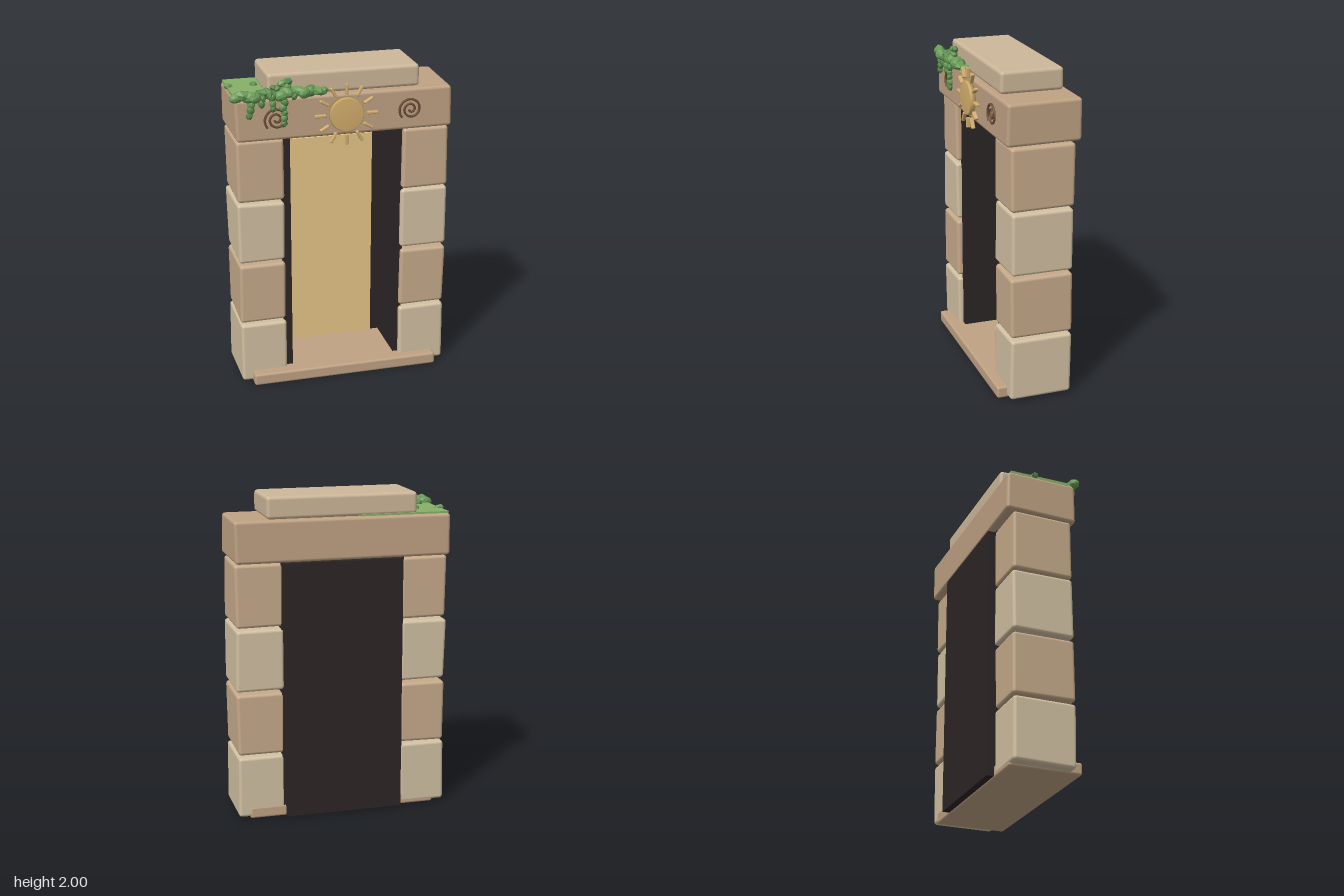
import * as THREE from 'three';
import { RoundedBoxGeometry } from 'three/addons/geometries/RoundedBoxGeometry.js';

const mat = (color, flatShading = false) => new THREE.MeshStandardMaterial({ color, flatShading });
const M = {
  light: mat(0xd2c1a2), tan: mat(0xc6aa8a), lintel: mat(0xbfa283), cap: mat(0xcdb799),
  dark: mat(0x2c2526), gold: mat(0xe6c688), sun: mat(0xd3ae6c), carving: mat(0x6e4f38),
  moss: mat(0x86b068, true), leaf: mat(0x6a9c57, true), leafDark: mat(0x578a4b, true),
};

// Small seeded generator
let seed = 7;
const rand = () => (seed = (seed * 16807) % 2147483647) / 2147483647;
const jit = (a) => (rand() * 2 - 1) * a;

export function createModel() {
  const root = new THREE.Group();
  const add = (name, geo, material, x = 0, y = 0, z = 0, parent = root) => {
    const m = new THREE.Mesh(geo, material);
    m.name = name;
    m.position.set(x, y, z);
    parent.add(m);
    return m;
  };

  // Box given by its limits on each axis
  const box = (name, material, [x0, x1], [y0, y1], [z0, z1]) =>
    add(name, new THREE.BoxGeometry(x1 - x0, y1 - y0, z1 - z0), material, (x0 + x1) / 2, (y0 + y1) / 2, (z0 + z1) / 2);

  // Rounded stone whose eight corners are nudged for a hand-cut look
  const stone = (name, material, [x0, x1], [y0, y1], [z0, z1], radius = 0.02, wobble = 0.005) => {
    const w = x1 - x0, h = y1 - y0, d = z1 - z0;
    const geo = new RoundedBoxGeometry(w, h, d, 2, radius);
    const corners = Array.from({ length: 8 }, () => [jit(wobble), jit(wobble * 0.6), jit(wobble)]);
    const p = geo.attributes.position;
    for (let i = 0; i < p.count; i++) {
      const v = [p.getX(i), p.getY(i), p.getZ(i)];
      const t = [v[0] / w + 0.5, v[1] / h + 0.5, v[2] / d + 0.5];
      corners.forEach((c, k) => {
        const weight = [0, 1, 2].reduce((a, j) => a * ((k >> j) & 1 ? t[j] : 1 - t[j]), 1);
        for (let j = 0; j < 3; j++) v[j] += c[j] * weight;
      });
      p.setXYZ(i, ...v);
    }
    return add(name, geo, material, (x0 + x1) / 2, (y0 + y1) / 2, (z0 + z1) / 2);
  };

  // Pillars of four blocks each
  const rows = [[0.01, 0.4], [0.415, 0.8], [0.818, 1.2], [1.213, 1.6]];
  rows.forEach((y, i) => {
    const m = i % 2 ? M.tan : M.light;
    stone('rightPillarBlock', m, [-0.648, -0.358], y, [-0.207, 0.182]);
    stone('leftPillarBlock', m, [0.384, 0.677], y, [-0.207, 0.182]);
  });

  // Lintel, cap stone and sill
  stone('lintel', M.lintel, [-0.65, 0.68], [1.608, 1.863], [-0.245, 0.21]);
  stone('capStone', M.cap, [-0.45, 0.482], [1.864, 2], [-0.21, 0.178], 0.022, 0.003);
  stone('sill', M.lintel, [-0.58, 0.607], [0, 0.075], [-0.205, 0.245], 0.014, 0.002);

  // Dark recess and glowing door
  box('backPanel', M.dark, [-0.352, 0.382], [0.01, 1.605], [-0.25, -0.2]);
  box('rightJamb', M.dark, [-0.37, -0.315], [0.03, 1.607], [-0.202, 0.15]);
  box('leftJamb', M.dark, [0.35, 0.4], [0.03, 1.607], [-0.202, 0.15]);
  box('doorPanel', M.gold, [-0.26, 0.295], [0.06, 1.47], [-0.2, -0.185]);

  // Sun emblem with twelve rays
  const sun = new THREE.Group();
  sun.name = 'sunEmblem';
  sun.position.set(0.015, 1.737, 0.21);
  root.add(sun);
  const profile = [[0, -0.005], [0.105, -0.005], [0.105, 0.026], [0.098, 0.034], [0, 0.034]];
  const discGeo = new THREE.LatheGeometry(profile.map(([x, y]) => new THREE.Vector2(x, y)), 32);
  add('sunDisc', discGeo.rotateX(Math.PI / 2), M.sun, 0, 0, 0, sun);
  for (let i = 0; i < 12; i++) {
    const a = (i * Math.PI) / 6;
    const r = i % 2 ? 0.155 : 0.16;
    const ray = add('sunRay', new RoundedBoxGeometry(i % 2 ? 0.065 : 0.07, 0.018, 0.026, 1, 0.006), M.sun,
      r * Math.cos(a), r * Math.sin(a), 0.014, sun);
    ray.rotation.z = a;
  }

  // Carved spirals either side of the sun
  const spiral = [];
  for (let i = 0; i <= 40; i++) {
    const t = i / 40, a = 3.9 - t * Math.PI * 4.2, r = 0.063 * (1 - t) + 0.01;
    spiral.push(new THREE.Vector3(r * Math.cos(a), r * Math.sin(a), 0));
  }
  const spiralGeo = new THREE.TubeGeometry(new THREE.CatmullRomCurve3(spiral), 90, 0.0075, 6);
  add('rightSpiral', spiralGeo, M.carving, -0.408, 1.735, 0.213);
  add('leftSpiral', spiralGeo, M.carving, 0.417, 1.735, 0.213);

  // Moss sheet on the lintel, running under the cap
  box('mossSheet', M.moss, [-0.648, -0.1], [1.855, 1.876], [-0.218, 0.19]);

  // Faceted leaf clumps
  const foliage = new THREE.Group();
  foliage.name = 'foliage';
  root.add(foliage);
  const clump = (name, x, y, z, sx, sy, sz) => {
    const m = add(name, new THREE.IcosahedronGeometry(1, rand() > 0.5 ? 1 : 0), rand() > 0.45 ? M.leaf : M.leafDark, x, y, z, foliage);
    m.scale.set(sx, sy, sz);
    m.rotation.set(jit(0.35), jit(1), jit(0.3));
  };
  for (let i = 0; i < 15; i++) {
    const t = i / 14;
    clump('edgeLeaves', -0.64 + t * 0.515, 1.885 + jit(0.012), 0.205 + jit(0.012),
      0.042 + rand() * 0.012, 0.026 + rand() * 0.01, 0.032);
  }

  // Hanging strands: x, lower end, width
  [[-0.565, 1.76, 0.024], [-0.49, 1.83, 0.02], [-0.425, 1.805, 0.022], [-0.365, 1.71, 0.024], [-0.3, 1.84, 0.02]].forEach(([x, end, w]) => {
    for (let y = 1.87; y >= end; y -= 0.032) clump('hangingLeaves', x + jit(0.007), y, 0.22, w, 0.027, 0.02);
  });

  // Sprouts climbing the front of the cap
  [[-0.4, 1.92, 0.03], [-0.365, 1.945, 0.038], [-0.335, 1.955, 0.034], [-0.35, 1.925, 0.04], [-0.42, 1.925, 0.024]].forEach(
    ([x, y, s]) => clump('sprout', x, y, 0.195, s, s * 0.7, 0.025));

  // Tufts on the moss sheet
  [[-0.64, -0.06, 0.034], [-0.488, -0.06, 0.024], [-0.57, 0.13, 0.03]].forEach(
    ([x, z, s]) => clump('mossTuft', x, 1.877, z, s, 0.02, s * 0.8));

  return root;
}
